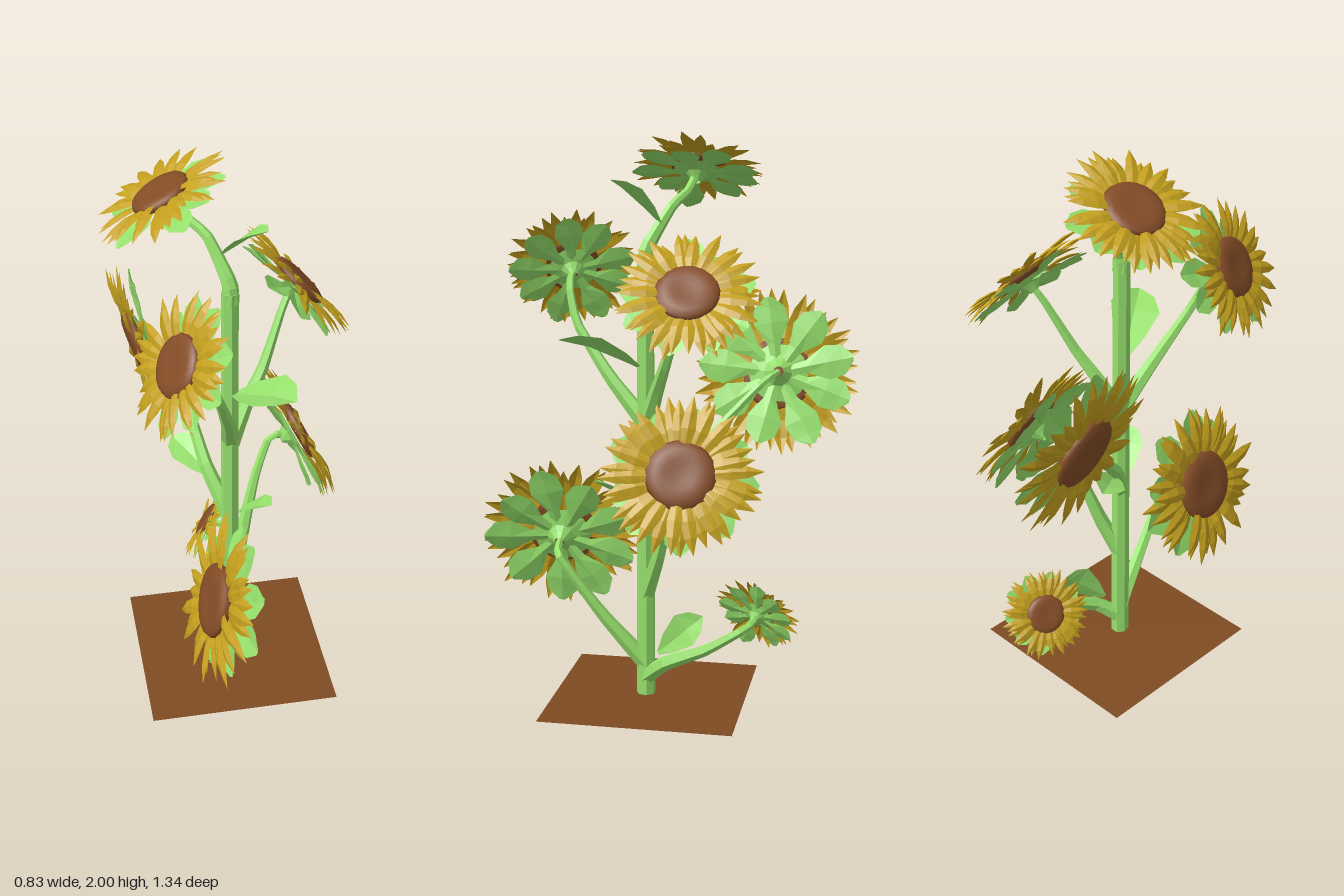
import * as THREE from 'three';
import { mergeGeometries } from 'three/addons/utils/BufferGeometryUtils.js';

const mat = (color) => new THREE.MeshStandardMaterial({ color, flatShading: true, side: THREE.DoubleSide });
const V = (p) => new THREE.Vector3(...p);

// Small seeded random, for slight irregularity of the petals
let seed = 7;
const rand = () => (seed = (seed * 16807) % 2147483647) / 2147483647;

// Folded blade along +y, facing +z; rows are [along, half width, edge lift, middle lift]
function blade(rows) {
  const pos = [], idx = [];
  rows.forEach(([y, w, edge, mid], i) => {
    pos.push(-w, y, edge, 0, y, mid, w, y, edge);
    if (!i) return;
    const a = (i - 1) * 3, b = i * 3;
    for (const k of [0, 1]) idx.push(a + k, a + k + 1, b + k + 1, a + k, b + k + 1, b + k);
  });
  const g = new THREE.BufferGeometry();
  g.setAttribute('position', new THREE.Float32BufferAttribute(pos, 3));
  g.setIndex(idx);
  g.computeVertexNormals();
  return g;
}

// Ring of blades around the z axis, each tilted a little
function whorl(base, count, turn, z, tilt) {
  const parts = [];
  for (let i = 0; i < count; i++) {
    parts.push(base.clone()
      .scale(1, 0.9 + 0.1 * rand(), 1)
      .rotateX((rand() - 0.5) * tilt)
      .rotateZ(((i + turn + (rand() - 0.5) * 0.35) / count) * Math.PI * 2)
      .translate(0, 0, z));
  }
  return mergeGeometries(parts);
}

const petalShape = blade([[0.36, 0.06, 0, 0.01], [0.6, 0.095, 0.02, 0.05], [0.82, 0.075, 0.01, 0.04], [1.03, 0.004, -0.02, -0.02]]);
const sepalShape = blade([[0.12, 0.05, -0.02, -0.04], [0.38, 0.08, -0.03, -0.06], [0.64, 0.21, -0.04, -0.08],
  [0.84, 0.18, -0.05, -0.08], [0.97, 0.04, -0.08, -0.09]]);
const leafShape = blade([[0, 0.03, 0, 0], [0.3, 0.17, 0.05, 0], [0.66, 0.27, 0.07, 0.0], [0.88, 0.18, 0.02, -0.04], [1, 0.02, -0.05, -0.06]]);

// Tapered stalk along a path with fairly tight bends
function stalkGeometry(points, r0, r1, sides = 6) {
  const curve = new THREE.CatmullRomCurve3(points.map(V), false, 'catmullrom', 0.25);
  const n = 14, g = new THREE.TubeGeometry(curve, n, 1, sides, false);
  const p = g.attributes.position, v = new THREE.Vector3();
  for (let i = 0; i < p.count; i++) {
    const t = Math.floor(i / (sides + 1)) / n, c = curve.getPointAt(t);
    v.fromBufferAttribute(p, i).sub(c).multiplyScalar(r1 + (r0 - r1) * (1 - t) ** 1.6).add(c);
    p.setXYZ(i, v.x, v.y, v.z);
  }
  return g;
}

export function createModel() {
  seed = 7;
  const model = new THREE.Group();
  const green = mat(0x96e06c), yellow = mat(0xc4a01e), soil = mat(0x7e4b22);
  const seeds = new THREE.MeshStandardMaterial({ color: 0x844c26, side: THREE.DoubleSide });
  const add = (parent, name, geometry, material) => {
    const m = new THREE.Mesh(geometry, material);
    m.name = name;
    parent.add(m);
    return m;
  };

  // Ground patch
  add(model, 'ground', new THREE.PlaneGeometry(0.68, 0.68).rotateX(-Math.PI / 2), soil).position.set(-0.01, 0.008, 0.03);

  // Main stem with its bent neck
  add(model, 'stem', new THREE.CylinderGeometry(0.03, 0.034, 1.58, 7), green).position.set(-0.01, 0.79, 0.05);
  add(model, 'stemNeck', stalkGeometry([[-0.01, 1.54, 0.05], [-0.012, 1.61, 0.045], [-0.07, 1.745, -0.03],
    [-0.13, 1.795, -0.075], [-0.195, 1.845, -0.09]], 0.031, 0.014, 7), green);

  // Flower head: seed disc, two rows of petals, sepals and the cup behind
  function flower([x, y, z], normal, size) {
    const f = new THREE.Group();
    f.name = 'flower';
    add(f, 'petals', mergeGeometries([whorl(petalShape, 18, 0, 0.0, 0.22), whorl(petalShape, 18, 0.5, -0.05, 0.22)]), yellow);
    add(f, 'sepals', whorl(sepalShape, 9, 0.25, -0.09, 0.2), green);
    const disc = [[0.001, 0.07], [0.12, 0.07], [0.2, 0.085], [0.32, 0.08], [0.41, 0.05], [0.44, 0], [0.4, -0.05], [0.001, -0.06]];
    add(f, 'seedDisc', new THREE.LatheGeometry(disc.map(([a, b]) => new THREE.Vector2(a, b)).reverse(), 20).rotateX(Math.PI / 2), seeds);
    const cup = [[0.06, -0.26], [0.11, -0.2], [0.17, -0.14], [0.36, -0.08]];
    add(f, 'cup', new THREE.LatheGeometry(cup.map(([a, b]) => new THREE.Vector2(a, b)), 10).rotateX(Math.PI / 2), green);
    f.quaternion.setFromUnitVectors(new THREE.Vector3(0, 0, 1), V(normal).normalize());
    f.position.set(x, y, z);
    f.scale.setScalar(size);
    model.add(f);
  }
  flower([-0.21, 1.877, -0.1], [-0.48, 0.87, -0.06], 0.235);

  // Side flowers: centre, facing, size, then the branch path up to the head
  const sideFlowers = [
    [[-0.23, 1.52, 0.36], [-0.84, 0.46, 0.25], 0.24,
      [[-0.01, 1.0, 0.05], [-0.04, 1.15, 0.18], [-0.09, 1.33, 0.31], [-0.14, 1.46, 0.35]]],
    [[0.26, 1.49, -0.14], [0.72, 0.68, -0.1], 0.245,
      [[-0.01, 0.98, 0.05], [0.06, 1.12, 0], [0.12, 1.22, -0.04], [0.2, 1.41, -0.11]]],
    [[-0.27, 1.145, -0.38], [-0.95, -0.26, 0.14], 0.297,
      [[-0.01, 0.66, 0.05], [-0.08, 0.82, -0.05], [-0.12, 0.98, -0.2], [-0.16, 1.13, -0.34]]],
    [[0.265, 0.885, -0.12], [0.9, 0.41, -0.12], 0.272,
      [[-0.01, 0.38, 0.05], [0.04, 0.52, 0], [0.1, 0.74, -0.06], [0.16, 0.88, -0.1]]],
    [[-0.122, 0.565, 0.38], [-0.95, 0.3, 0.06], 0.297,
      [[-0.01, 0.12, 0.05], [0.02, 0.3, 0.2], [0.045, 0.51, 0.35], [0.0, 0.53, 0.37]]],
    [[-0.035, 0.325, -0.35], [-0.82, 0.47, -0.33], 0.16,
      [[-0.01, 0.07, 0.05], [0.04, 0.14, -0.03], [0.07, 0.21, -0.18], [0.085, 0.295, -0.31], [0.04, 0.305, -0.335]]],
  ];
  for (const [centre, normal, size, path] of sideFlowers) {
    flower(centre, normal, size);
    const end = V(centre).addScaledVector(V(normal).normalize(), -0.15 * size);
    add(model, 'branch', stalkGeometry([...path, end.toArray()], 0.033, 0.013), green);
  }

  // Leaves: base, tip, and the direction the upper face leans to
  const leaves = [
    [[-0.03, 1.69, 0.0], [0.085, 1.85, 0.14], [-0.4, 1, -0.4]],
    [[-0.005, 1.19, 0.06], [0.15, 1.325, 0.31], [-0.45, 1, -0.2]],
    [[-0.005, 0.67, 0.06], [0.1, 0.82, 0.2], [-0.3, 1, -0.35]],
    [[-0.06, 0.78, -0.03], [-0.18, 0.86, -0.2], [0.1, 0.8, 1]],
    [[0.02, 0.17, 0.0], [0.07, 0.33, -0.16], [1, 0.5, 0]],
  ];
  for (const [base, tip, up] of leaves) {
    const along = V(tip).sub(V(base)), length = along.length();
    along.normalize();
    const side = new THREE.Vector3().crossVectors(along, V(up)).normalize();
    const face = new THREE.Vector3().crossVectors(side, along);
    const leaf = add(model, 'leaf', leafShape, green);
    leaf.quaternion.setFromRotationMatrix(new THREE.Matrix4().makeBasis(side, along, face));
    leaf.position.set(...base);
    leaf.scale.setScalar(length);
  }
  return model;
}
